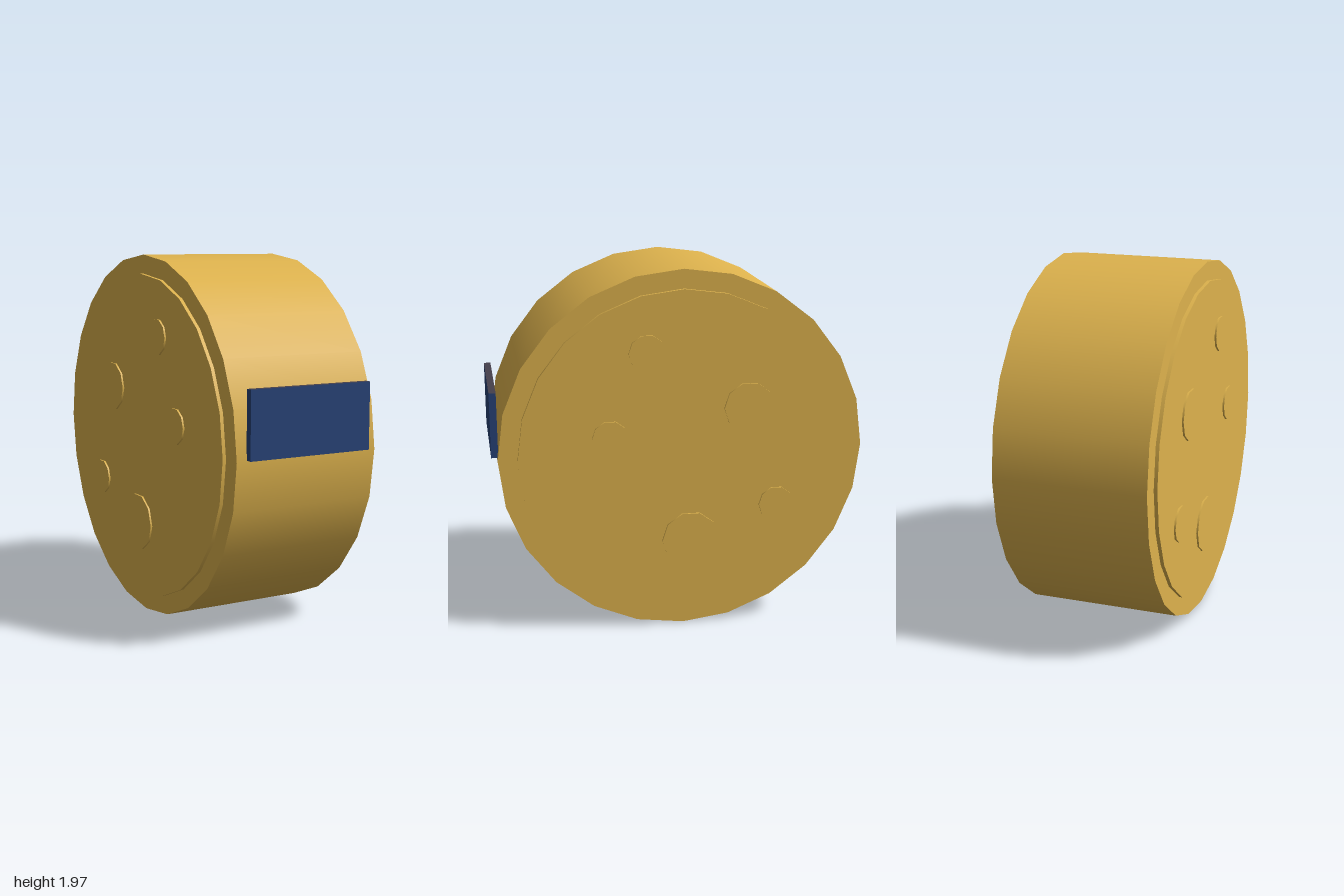
import * as THREE from 'three';

const CENTER_Y = 0.985, CENTER_Z = -0.016;

export function createModel() {
  const group = new THREE.Group();
  const mat = (name, color) => {
    const m = new THREE.MeshStandardMaterial({ color });
    m.name = name;
    return m;
  };
  const rind = mat('golden rind', 0xddb24d);
  const blue = mat('label blue', 0x274277);
  const dark = mat('label edge dark', 0x45404c);

  // A disc whose axis runs along x
  const disc = (name, radius, x0, x1, y, z, sides) => {
    const geo = new THREE.CylinderGeometry(radius, radius, x1 - x0, sides);
    geo.rotateZ(-Math.PI / 2);
    const mesh = new THREE.Mesh(geo, rind);
    mesh.name = name;
    mesh.position.set((x0 + x1) / 2, y, z);
    group.add(mesh);
  };

  // Main wheel
  disc('wheelBody', 0.985, -0.412, 0.412, CENTER_Y, CENTER_Z, 24);

  // Raised faces and round spots, mirrored on both sides: [y, z, radius]
  const spots = [
    [1.54, 0.182, 0.097],
    [1.225, -0.369, 0.137],
    [1.088, 0.38, 0.097],
    [0.674, -0.527, 0.097],
    [0.497, -0.053, 0.156],
  ];
  for (const side of [1, -1]) {
    const label = side > 0 ? 'left' : 'right';
    const span = (a, b) => (side > 0 ? [a, b] : [-b, -a]);
    disc(`${label}Face`, 0.883, ...span(0.40, 0.431), CENTER_Y, CENTER_Z, 24);
    spots.forEach(([y, z, r], i) =>
      disc(`${label}Spot${i + 1}`, r, ...span(0.42, 0.441), y, z, 10));
  }

  // Flat label plate on the front of the rim, with a dark upper edge
  const plate = new THREE.Mesh(
    new THREE.BoxGeometry(0.706, 0.35, 0.037),
    [blue, blue, dark, blue, blue, blue]
  );
  plate.name = 'frontLabel';
  plate.position.set(0, 1.166, 0.9815);
  group.add(plate);

  return group;
}
